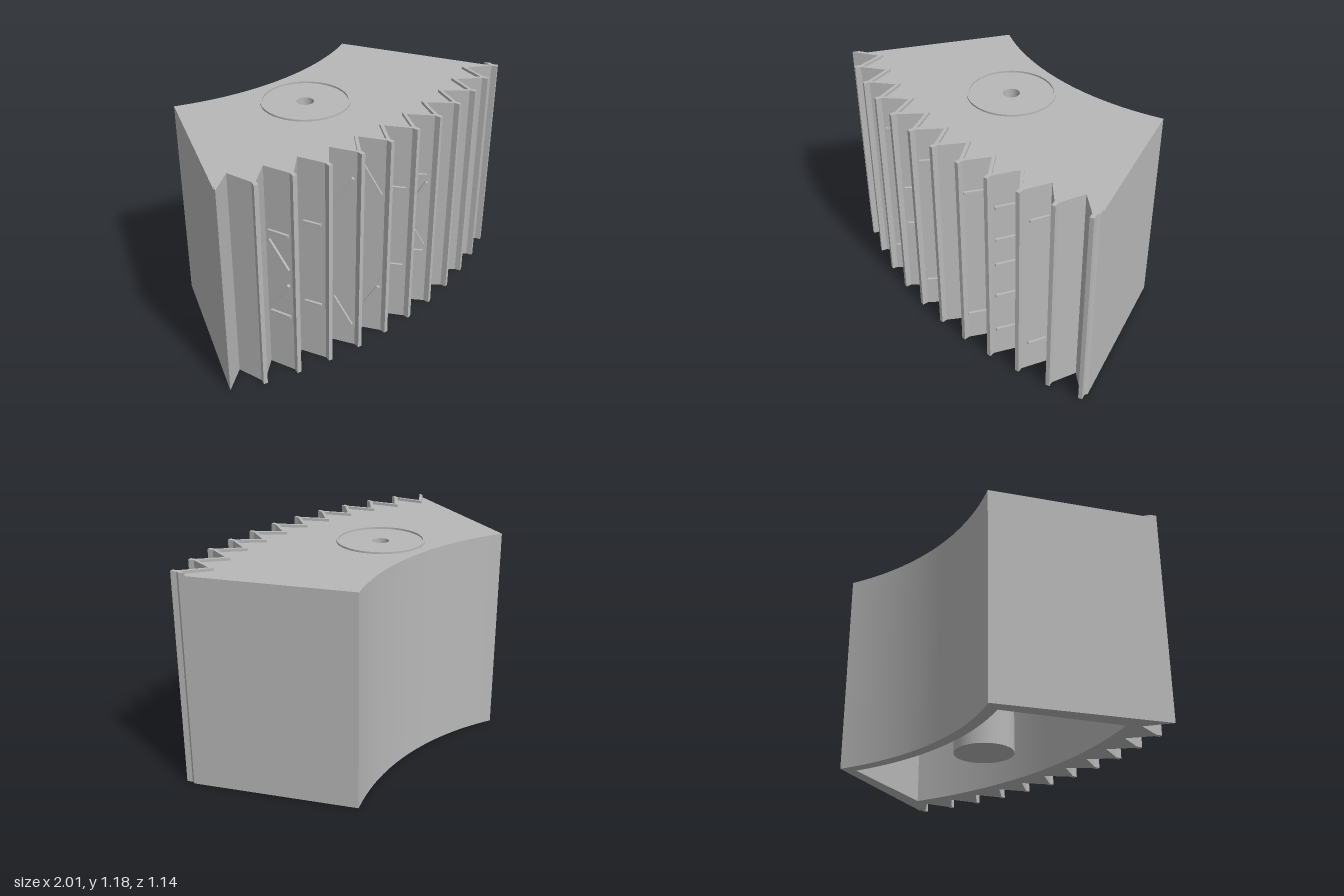
import * as THREE from 'three';
import { toCreasedNormals } from 'three/addons/utils/BufferGeometryUtils.js';

const grey = new THREE.MeshStandardMaterial({ color: 0xb8b8b8 });
grey.name = 'plain grey';

// The plan is a ring sector around the point (CX, CZ); angles in degrees from +z.
const CX = -0.18, CZ = -1.86;
const START = -19.9, END = 29.5, HALF = 2.225; // half a tooth pitch
const BOSS = { x: -0.115, z: -0.083 };
const TOP = 1.165, CEILING = 1.095;

// Plan point as a shape point (shape y = -z)
function plan(r, deg) {
  const a = THREE.MathUtils.degToRad(deg);
  return new THREE.Vector2(CX + r * Math.sin(a), -(CZ + r * Math.cos(a)));
}

function arc(r, from, to, n = 28) {
  return Array.from({ length: n + 1 }, (_, i) => plan(r, from + ((to - from) * i) / n));
}

// Zigzag from START to END: even steps are valleys, odd steps are tips
function zigzag(valley, tip, tabR = 0, tabBase = 0) {
  const radius = (deg) => {
    const t = Math.abs(deg / HALF) % 2;
    return valley + (tip - valley) * (t > 1 ? 2 - t : t);
  };
  const pts = [plan(radius(START), START)];
  for (let i = -8; i <= 13; i++) {
    const deg = i * HALF;
    if (i % 2 === 0) pts.push(plan(valley, deg));
    else if (!tabR) pts.push(plan(tip, deg));
    else {
      const w = 0.26;
      pts.push(plan(tabBase, deg - w), plan(tabR, deg - w), plan(tabR, deg + w), plan(tabBase, deg + w));
    }
  }
  pts.push(plan(radius(END), END));
  return pts;
}

function extrude(outline, hole, y0, y1) {
  const shape = new THREE.Shape(outline);
  if (hole) shape.holes.push(hole);
  const geo = new THREE.ExtrudeGeometry(shape, { depth: y1 - y0, bevelEnabled: false, curveSegments: 32 });
  geo.rotateX(-Math.PI / 2);
  geo.translate(0, y0, 0);
  return toCreasedNormals(geo, 0.3);
}

function lathe(profile) {
  const geo = new THREE.LatheGeometry(profile.map(([r, y]) => new THREE.Vector2(r, y)), 40);
  geo.translate(BOSS.x, 0, BOSS.z);
  return toCreasedNormals(geo, 0.5);
}

export function createModel() {
  const model = new THREE.Group();
  model.name = 'toothedBlock';
  const add = (name, geo, parent = model) => {
    const mesh = new THREE.Mesh(geo, grey);
    mesh.name = name;
    parent.add(mesh);
    return mesh;
  };

  // Hollow block, open underneath
  const body = [...zigzag(2.247, 2.383), ...arc(1.48, END, START)];
  const cavity = new THREE.Path([...arc(2.2, -17.4, 27.2), ...arc(1.545, 27.2, -17.4)]);
  add('walls', extrude(body, cavity, 0, CEILING));
  const bore = new THREE.Path();
  bore.absarc(BOSS.x, -BOSS.z, 0.046, 0, Math.PI * 2, true);
  add('roof', extrude(body, bore, CEILING, TOP));

  // Toothed facing with a narrow tab on every tip
  const outer = zigzag(2.278, 2.42, 2.43, 2.398);
  add('toothedFacing', extrude([...outer, ...zigzag(2.247, 2.383).reverse()], null, 0, 1.18));

  // Boss inside, its blind bore and the raised rim around it
  add('boss', lathe([[0, 0], [0.16, 0], [0.16, CEILING]]));
  add('bore', lathe([[0.046, TOP], [0.046, 0.6], [0, 0.6]]));
  add('rim', lathe([[0.24, TOP], [0.24, 1.175], [0.228, 1.175], [0.228, TOP]]));

  // Small ribs lying on the tooth flanks: x0, y0, x1, y1
  const ribs = [];
  const level = (x0, x1, ...heights) => heights.forEach((y) => ribs.push([x0, y, x1, y]));
  level(-0.44, -0.375, 0.99, 0.18);
  level(-0.07, -0.015, 0.99, 0.18);
  level(0.295, 0.335, 0.99, 0.18);
  level(0.66, 0.68, 0.99, 0.18);
  level(0.48, 0.513, 0.99, 0.79, 0.63, 0.42, 0.18);
  level(-0.7, -0.66, 0.83, 0.345);
  level(-0.52, -0.48, 0.83, 0.345);
  level(0.01, 0.075, 0.83, 0.345);
  level(0.19, 0.255, 0.83, 0.345);
  level(-0.255, -0.195, 0.71, 0.465);
  ribs.push(
    [-0.345, 0.87, -0.295, 1.035], [-0.345, 0.3, -0.295, 0.135],
    [-0.165, 1.035, -0.11, 0.87], [-0.165, 0.135, -0.11, 0.3],
    [-0.7, 0.78, -0.662, 0.63], [-0.7, 0.385, -0.662, 0.54],
    [0.195, 0.63, 0.255, 0.79], [0.195, 0.54, 0.255, 0.39]
  );
  const ribGroup = new THREE.Group();
  ribGroup.name = 'flankRibs';
  model.add(ribGroup);
  const corner = (i) => plan(i % 2 === 0 ? 2.278 : 2.42, i * HALF);
  for (const [x0, y0, x1, y1] of ribs) {
    let i = -9;
    while (corner(i + 1).x < (x0 + x1) / 2) i++;
    const a = corner(i), b = corner(i + 1);
    const at = (x, y) => new THREE.Vector3(x, y, -(a.y + ((b.y - a.y) * (x - a.x)) / (b.x - a.x)));
    const p = at(x0, y0), q = at(x1, y1);
    const along = q.clone().sub(p);
    const length = along.length();
    along.normalize();
    const out = new THREE.Vector3(b.y - a.y, 0, b.x - a.x).normalize();
    const up = out.clone().cross(along);
    const rib = add('rib', new THREE.BoxGeometry(length, 0.016, 0.024), ribGroup);
    rib.quaternion.setFromRotationMatrix(new THREE.Matrix4().makeBasis(along, up, out));
    rib.position.copy(p).add(q).multiplyScalar(0.5);
  }
  return model;
}
